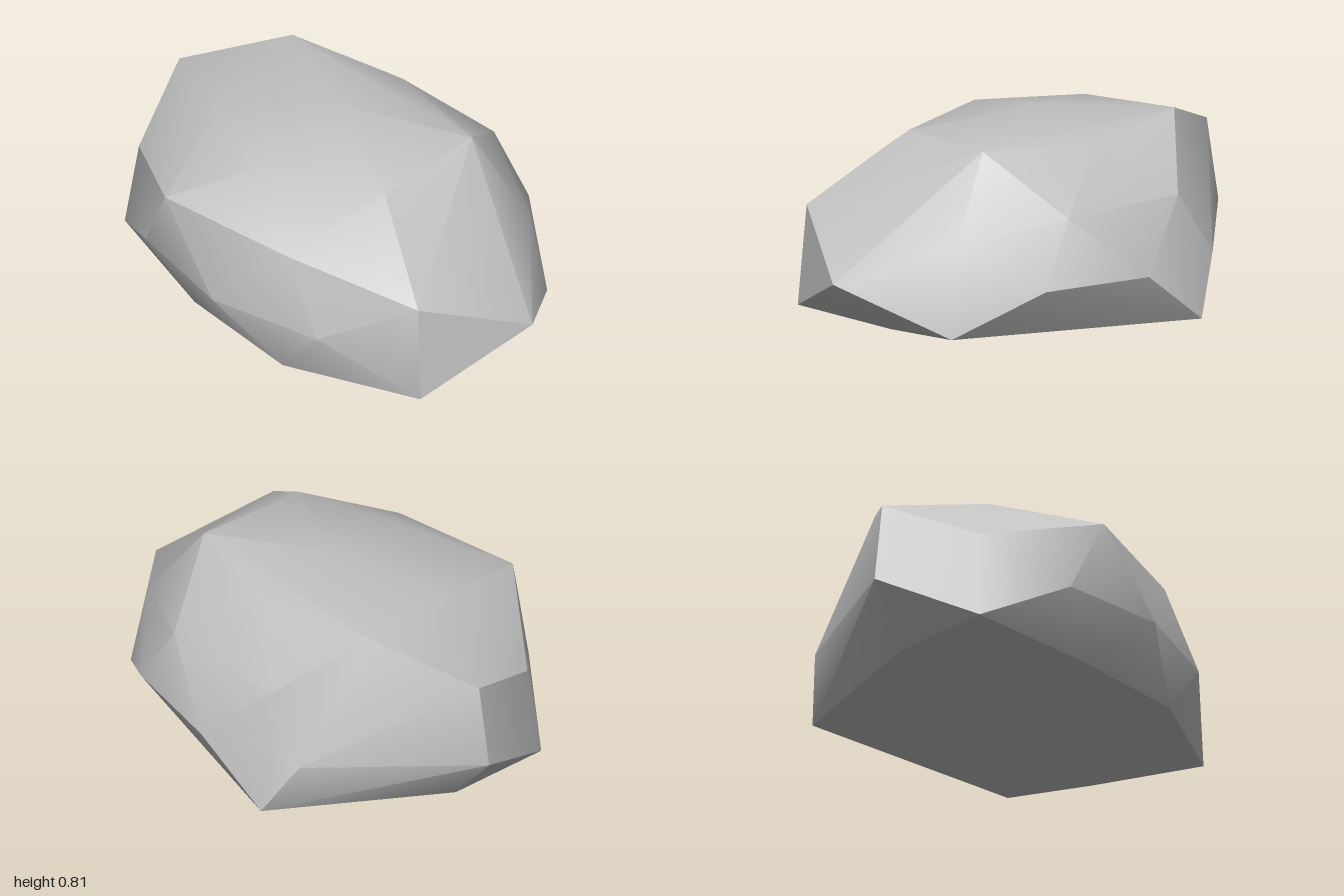
import * as THREE from 'three';
import { ConvexGeometry } from 'three/addons/geometries/ConvexGeometry.js';
import { toCreasedNormals } from 'three/addons/utils/BufferGeometryUtils.js';

// Corner rings of the boulder, each corner as [x, y, z]
const rings = {
  base: [
    [0.70, 0, -0.02], [0.81, 0.02, 0.44], [0.23, 0, 0.63], [-0.32, 0, 0.56],
    [-0.86, 0.04, 0.39], [-0.80, 0, -0.02], [-0.37, 0, -0.69], [0.71, 0.045, -0.42],
  ],
  waist: [
    [1.00, 0.24, -0.02], [0.43, 0.24, 0.645], [-0.06, 0.24, 0.735], [-0.53, 0.24, 0.62],
    [-1.00, 0.24, -0.02], [-0.50, 0.24, -0.60], [-0.06, 0.24, -0.735], [0.40, 0.24, -0.645],
  ],
  shoulder: [
    [0.78, 0.44, 0.42], [0.23, 0.535, 0.605], [-0.37, 0.567, 0.68], [-0.81, 0.425, 0.36],
    [-0.94, 0.59, -0.02], [-0.32, 0.51, -0.60], [0.25, 0.51, -0.60], [0.65, 0.41, -0.38],
  ],
  crown: [
    [0.41, 0.73, 0.22], [-0.06, 0.735, 0.38], [-0.50, 0.715, 0.22],
    [-0.56, 0.76, -0.28], [-0.06, 0.725, -0.40], [0.43, 0.752, -0.275],
    [-0.06, 0.805, -0.02],
  ],
};

export function createModel() {
  const group = new THREE.Group();
  group.name = 'rock';

  const stone = new THREE.MeshStandardMaterial({ color: 0xc1c1c1 });
  stone.name = 'pale grey stone';

  // Faceted hull, softly shaded except across the sharp breaks
  const points = Object.values(rings).flat().map((p) => new THREE.Vector3(...p));
  const hull = new ConvexGeometry(points);
  const boulder = new THREE.Mesh(toCreasedNormals(hull, THREE.MathUtils.degToRad(30)), stone);
  boulder.name = 'boulder';
  group.add(boulder);

  return group;
}
